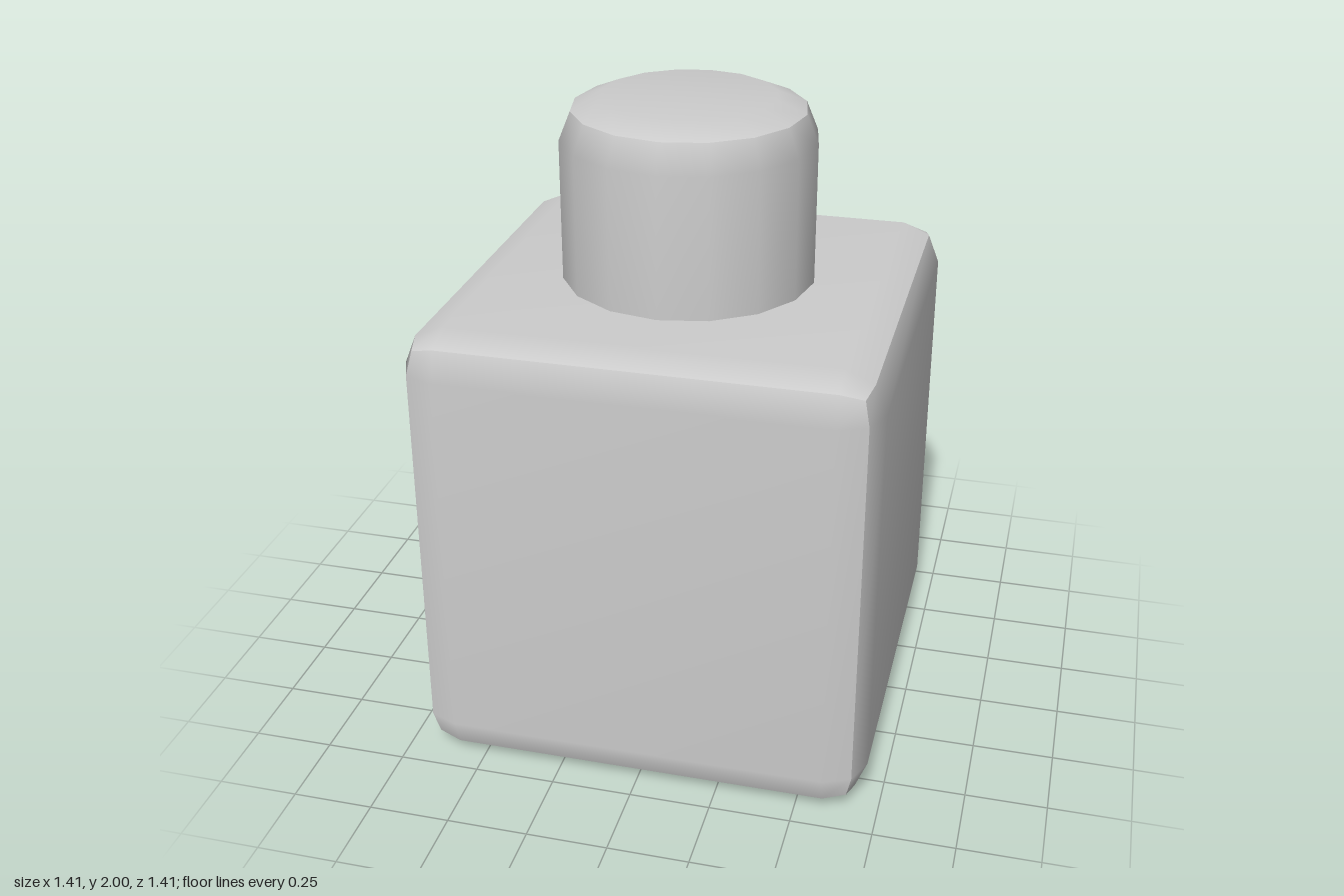
import * as THREE from 'three';

const material = new THREE.MeshStandardMaterial({ color: 0xcccccc });

function addMesh(parent, geometry, name) {
  const mesh = new THREE.Mesh(geometry, material);
  mesh.name = name;
  parent.add(mesh);
  return mesh;
}

// Box with two-step rounded edges: smooth towards the flats, creased on the 45 degree line
function roundedBlock(size, radius) {
  const geometry = new THREE.BoxGeometry(1, 1, 1, 3, 3, 3);
  const position = geometry.attributes.position;
  const p = new THREE.Vector3();
  const side = new THREE.Vector3();
  for (let i = 0; i < position.count; i++) {
    p.fromBufferAttribute(position, i);
    side.set(Math.sign(p.x), Math.sign(p.y), Math.sign(p.z));
    // inner grid lines drop to zero, outer ones keep their direction
    const direction = p.clone().addScaledVector(side, -1 / 6).normalize();
    p.copy(size).multiplyScalar(0.5).sub(radius).multiply(side);
    p.add(direction.multiply(radius));
    position.setXYZ(i, p.x, p.y, p.z);
  }
  geometry.computeVertexNormals();
  return geometry;
}

function turned(points, sides) {
  return new THREE.LatheGeometry(points.map(([r, y]) => new THREE.Vector2(r, y)), sides);
}

export function createModel() {
  const model = new THREE.Group();
  model.name = 'bottle';

  // Square body
  const size = new THREE.Vector3(1.41, 1.44, 1.41);
  const radius = new THREE.Vector3(0.122, 0.127, 0.122);
  addMesh(model, roundedBlock(size, radius), 'body').position.y = size.y / 2;

  // Sixteen-sided stopper, creased between side and top
  const stopper = new THREE.Group();
  stopper.name = 'stopper';
  model.add(stopper);
  addMesh(stopper, turned([[0.39, 1.4], [0.39, 1.875], [0.354, 1.963]], 16), 'stopperSide');
  addMesh(stopper, turned([[0.354, 1.963], [0.265, 2], [0, 2]], 16), 'stopperTop');

  return model;
}
